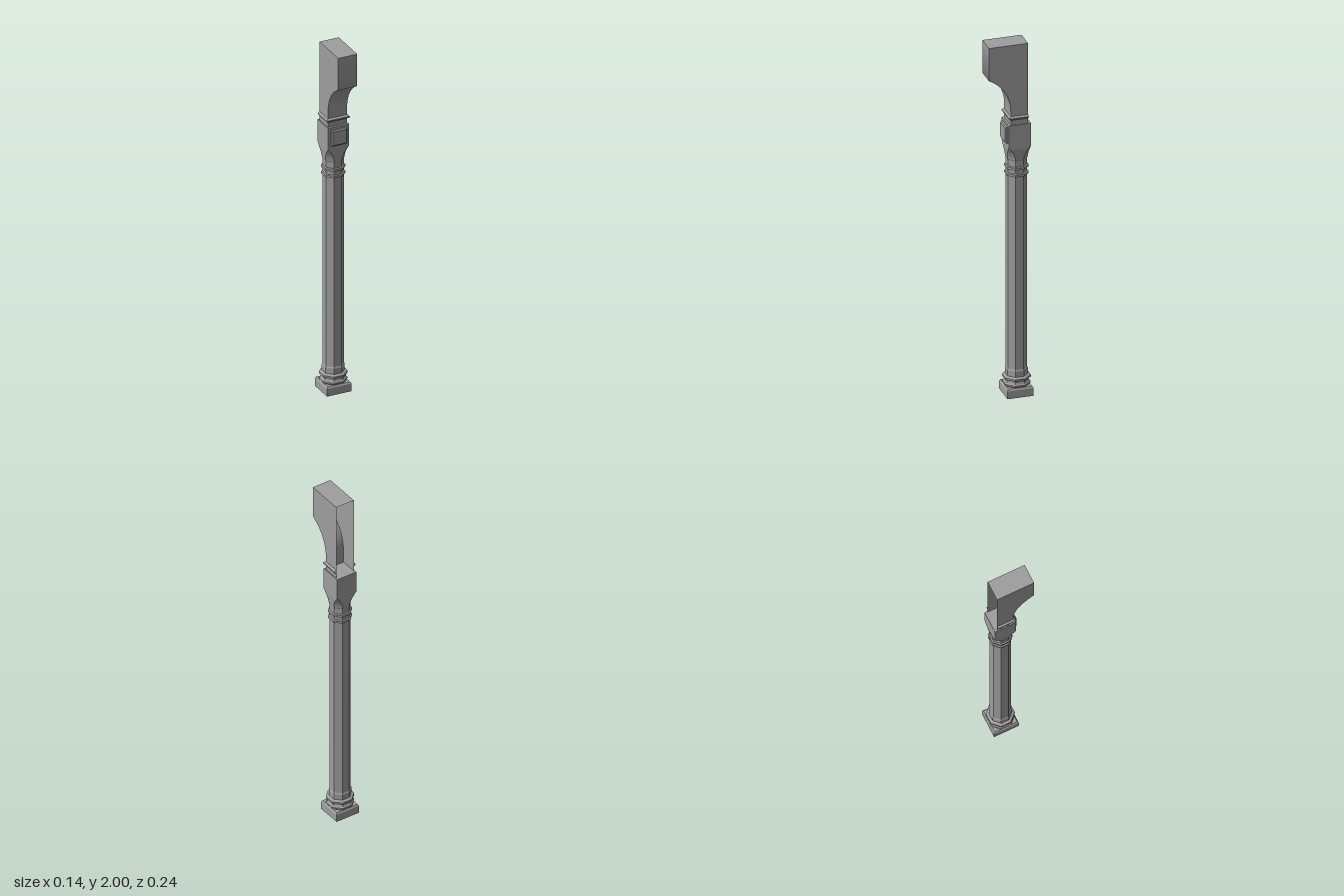
import * as THREE from 'three';

const AXIS_Z = -0.048; // the post stands behind the bracket's nose
const OCT = Math.tan(Math.PI / 8);
const flat = new THREE.MeshStandardMaterial({ color: 0x9e9e9e, flatShading: true, side: THREE.DoubleSide });
const smooth = new THREE.MeshStandardMaterial({ color: 0x9e9e9e, side: THREE.DoubleSide });

function toGeometry(pos) {
  const g = new THREE.BufferGeometry();
  g.setAttribute('position', new THREE.Float32BufferAttribute(pos, 3));
  g.computeVertexNormals();
  return g;
}

// Eight-cornered loft. Each level is [y, half width, half length of the straight side].
// Without the third value the section is a regular octagon; equal values give a square.
function loft(levels, capTop = false) {
  const pos = [];
  const rings = levels.map(([y, a, b = a * OCT]) =>
    [[a, -b], [a, b], [b, a], [-b, a], [-a, b], [-a, -b], [-b, -a], [b, -a]].map(([x, z]) => [x, y, z]));
  for (let k = 0; k < rings.length - 1; k++) {
    for (let i = 0; i < 8; i++) {
      const j = (i + 1) % 8, lo = rings[k], hi = rings[k + 1];
      pos.push(...lo[i], ...hi[i], ...hi[j], ...lo[i], ...hi[j], ...lo[j]);
    }
  }
  if (capTop) {
    const top = rings[rings.length - 1];
    for (let i = 0; i < 8; i++) pos.push(0, top[0][1], 0, ...top[(i + 1) % 8], ...top[i]);
  }
  return toGeometry(pos);
}

export function createModel() {
  const model = new THREE.Group();
  const add = (name, geometry, material = flat, x = 0, y = 0, z = 0) => {
    const mesh = new THREE.Mesh(geometry, material);
    mesh.name = name;
    mesh.position.set(x, y, z);
    model.add(mesh);
  };

  // Square plinth, hollow underneath, with a bevelled top edge
  add('plinth', loft([[0, 0.071, 0.071], [0.044, 0.071, 0.071], [0.053, 0.065, 0.065]], true), flat, 0, 0, AXIS_Z);

  // Octagonal base mouldings
  add('baseMoulding', loft([
    [0.053, 0.064], [0.058, 0.068], [0.066, 0.068], [0.071, 0.062], [0.08, 0.059], [0.088, 0.061],
    [0.092, 0.069], [0.102, 0.069], [0.107, 0.064], [0.11, 0.055], [0.143, 0.055], [0.15, 0.051],
  ]), flat, 0, 0, AXIS_Z);

  // Octagonal shaft
  add('shaft', loft([[0.053, 0.051], [1.35, 0.051]]), flat, 0, 0, AXIS_Z);

  // Two neck rings
  for (const [name, y] of [['lowerNeckRing', 1.254], ['upperNeckRing', 1.292]]) {
    add(name, loft([
      [y - 0.009, 0.051], [y - 0.006, 0.058], [y + 0.006, 0.058], [y + 0.009, 0.051],
    ]), flat, 0, 0, AXIS_Z);
  }

  // Capital block, its corners flaring from octagon to square
  const flare = [[1.335, 0.051]];
  const steps = 8;
  for (let i = 0; i <= steps; i++) {
    const t = i / steps;
    const a = 0.054 + 0.0065 * Math.min(1, t * 1.3);
    flare.push([1.342 + 0.08 * t, a, THREE.MathUtils.lerp(0.022, a, t ** 1.7)]);
  }
  flare.push([1.546, 0.0605, 0.0605]);
  add('capitalBlock', loft(flare, true), flat, 0, 0, AXIS_Z);

  // Raised panel with bevelled edges on the front of the block
  add('frontPanel', loft([
    [0, 0.045, 0.045], [0.01, 0.045, 0.045], [0.015, 0.039, 0.039],
  ], true).rotateX(Math.PI / 2), flat, 0, 1.487, 0.012);

  // Bracket profile: straight foot, concave sweep, straight nose
  const W = 0.055, BACK = -0.094, NOSE = 0.119;
  const curve = new THREE.QuadraticBezierCurve(
    new THREE.Vector2(0, 1.62), new THREE.Vector2(0, 1.75), new THREE.Vector2(NOSE, 1.815));
  const profile = [new THREE.Vector2(0, 1.545), ...curve.getPoints(7), new THREE.Vector2(NOSE, 2)];

  // Bracket sides
  const outline = new THREE.Shape([new THREE.Vector2(BACK, 1.545), ...profile, new THREE.Vector2(BACK, 2)]);
  for (const [name, s] of [['bracketLeftSide', 1], ['bracketRightSide', -1]]) {
    add(name, new THREE.ShapeGeometry(outline).rotateY(-Math.PI / 2), flat, s * W);
  }

  // Bracket front ribbon; normals blend evenly between neighbouring strips
  const pos = [], normals = [], index = [];
  const direction = (i) => profile[i + 1].clone().sub(profile[i]).normalize();
  const last = profile.length - 1;
  profile.forEach((p, i) => {
    const d = direction(Math.max(i - 1, 0)).add(direction(Math.min(i, last - 1))).normalize();
    pos.push(-W, p.y, p.x, W, p.y, p.x);
    normals.push(0, -d.x, d.y, 0, -d.x, d.y);
    if (i) {
      const k = 2 * i;
      index.push(k - 2, k - 1, k + 1, k - 2, k + 1, k);
    }
  });
  const ribbon = new THREE.BufferGeometry();
  ribbon.setAttribute('position', new THREE.Float32BufferAttribute(pos, 3));
  ribbon.setAttribute('normal', new THREE.Float32BufferAttribute(normals, 3));
  ribbon.setIndex(index);
  add('bracketFront', ribbon, smooth);

  // Bracket top; the back stays open
  add('bracketTop', new THREE.PlaneGeometry(2 * W, NOSE - BACK).rotateX(-Math.PI / 2), flat,
    0, 2, (NOSE + BACK) / 2);

  // Collar moulding swept around three sides of the bracket foot: [projection, y]
  const section = [[0, 1.574], [0.006, 1.577], [0.011, 1.582], [0.011, 1.588], [0.006, 1.593], [0, 1.596]];
  const rows = section.map(([o, y]) =>
    [[W + o, y, BACK], [W + o, y, o], [-W - o, y, o], [-W - o, y, BACK]]);
  const collar = [];
  for (let k = 0; k < rows.length - 1; k++) {
    for (let i = 0; i < 3; i++) {
      const lo = rows[k], hi = rows[k + 1];
      collar.push(...lo[i], ...hi[i], ...hi[i + 1], ...lo[i], ...hi[i + 1], ...lo[i + 1]);
    }
  }
  add('collar', toGeometry(collar));
  return model;
}
